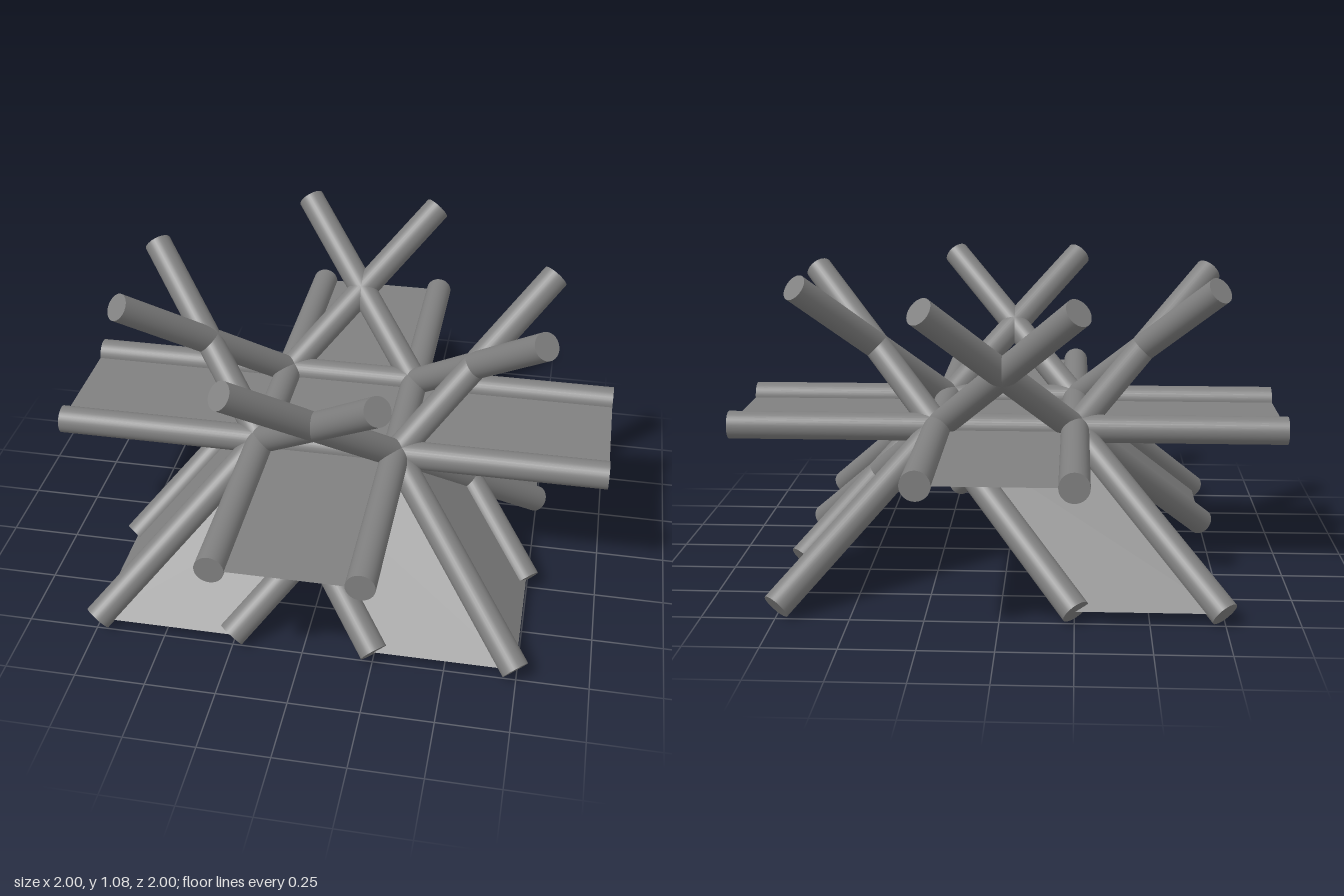
import * as THREE from 'three';

const C = 0.246;   // half side of the central square
const Y = 0.541;   // height of the horizontal layer
const D = 0.5;     // run of the diagonal rods along each axis
const R = 0.05;    // rod radius

const rodMat = new THREE.MeshStandardMaterial({ color: 0x808080 });
const sheetMat = new THREE.MeshStandardMaterial({ color: 0x808080, side: THREE.DoubleSide });
const V = (x, y, z) => new THREE.Vector3(x, y, z);

// Round rod from a point along a vector
function rod(name, start, run) {
  const mesh = new THREE.Mesh(new THREE.CylinderGeometry(R, R, run.length(), 32), rodMat);
  mesh.position.copy(start).addScaledVector(run, 0.5);
  mesh.quaternion.setFromUnitVectors(V(0, 1, 0), run.clone().normalize());
  mesh.name = name;
  return mesh;
}

// Thin flat parallelogram from a corner and two edge vectors
function sheet(name, p, u, v) {
  const q = p.clone().add(u);
  const geo = new THREE.BufferGeometry().setFromPoints([p, q, q.clone().add(v), p.clone().add(v)]);
  geo.setIndex([0, 1, 2, 0, 2, 3]);
  geo.computeVertexNormals();
  const mesh = new THREE.Mesh(geo, sheetMat);
  mesh.name = name;
  return mesh;
}

export function createModel() {
  const model = new THREE.Group();
  model.name = 'rodLattice';

  // Horizontal rods in both directions
  for (const s of [-1, 1]) {
    model.add(rod('crossRod', V(-1, Y, s * C), V(2, 0, 0)));
    model.add(rod('lengthRod', V(s * C, Y, -1), V(0, 0, 2)));
  }

  // Horizontal sheets forming a plus shape
  model.add(sheet('crossSheet', V(-1, Y, -C), V(0, 0, 2 * C), V(2, 0, 0)));
  for (const s of [-1, 1]) {
    model.add(sheet('lengthSheet', V(-C, Y, s * C), V(2 * C, 0, 0), V(0, 0, s * (1 - C))));
  }

  // Each corner: two crossing arms upward and one outward leg downward
  for (const sx of [-1, 1]) for (const sz of [-1, 1]) {
    const corner = V(sx * C, Y, sz * C);
    for (const k of [-1, 1]) {
      model.add(rod('upperArm', corner, V(k * sx * D, D, -k * sz * D)));
    }
    model.add(rod('cornerLeg', corner, V(sx * D, -D, sz * D)));
  }

  // Six sloping sheets hung from the edges of the square, each with a leg along
  // its inner edge: [outward x, outward z, sideways lean]
  const slopes = [[0, 1, -1], [0, 1, 1], [1, 0, -1], [1, 0, 1], [-1, 0, 1], [0, -1, -1]];
  for (const [ox, oz, lean] of slopes) {
    const side = V(Math.abs(oz), 0, Math.abs(ox)).multiplyScalar(lean);
    const start = V(ox * C, Y, oz * C).addScaledVector(side, -C);
    const fall = V(ox * D, -D, oz * D).addScaledVector(side, D);
    model.add(sheet('slopingSheet', start, side.multiplyScalar(2 * C), fall));
    model.add(rod('innerLeg', start, fall));
  }
  return model;
}
